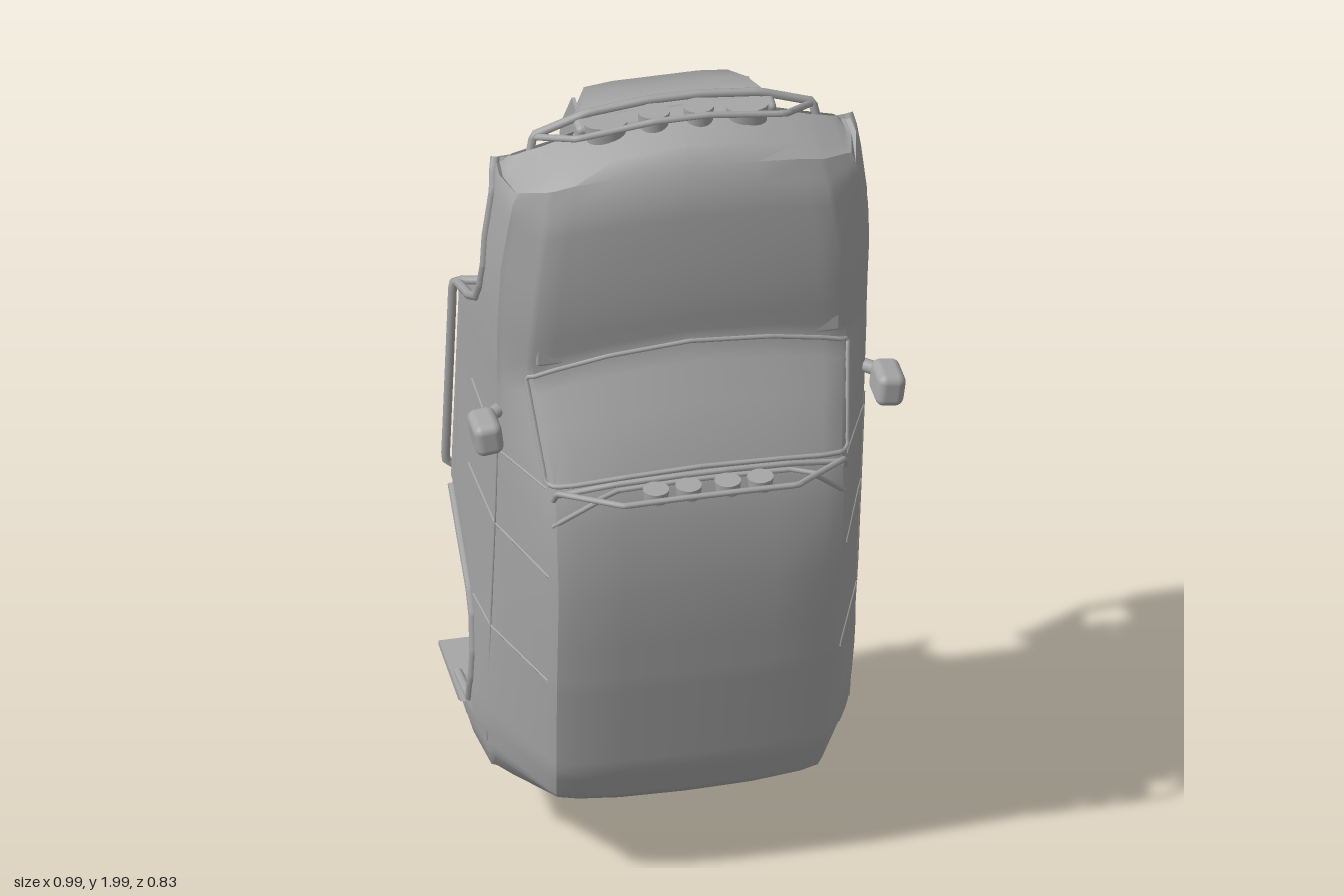
import * as THREE from 'three';
import { toCreasedNormals } from 'three/addons/utils/BufferGeometryUtils.js';
import { RoundedBoxGeometry } from 'three/addons/geometries/RoundedBoxGeometry.js';

const TILT = 0.144;
const grey = new THREE.MeshStandardMaterial({ color: 0xa6a6a6, side: THREE.DoubleSide });
grey.name = 'bodyGrey';
const V = (x, y, z) => new THREE.Vector3(x, y, z);
const { clamp, lerp, smoothstep } = THREE.MathUtils;

// Body stations along the car: distance, top height, belt height, half width, roof half width
const stations = [
  [-0.862, -0.12, -0.13, 0.375, 0.34], [-0.85, 0.0, -0.02, 0.39, 0.36], [-0.825, 0.1, 0.05, 0.4, 0.36],
  [-0.765, 0.245, 0.06, 0.41, 0.305], [-0.73, 0.278, 0.06, 0.415, 0.315], [-0.63, 0.306, 0.065, 0.42, 0.325],
  [-0.36, 0.32, 0.07, 0.42, 0.335], [-0.09, 0.322, 0.07, 0.42, 0.34], [0.1, 0.296, 0.07, 0.42, 0.345],
  [0.21, 0.262, 0.07, 0.42, 0.345], [0.46, 0.108, 0.045, 0.425, 0.37], [0.49, 0.107, 0.04, 0.425, 0.37],
  [0.56, 0.106, 0.035, 0.425, 0.365], [0.68, 0.096, 0.025, 0.42, 0.355], [0.84, 0.068, 0.015, 0.4, 0.335],
  [0.915, 0.035, 0.0, 0.385, 0.32], [0.945, 0.0, -0.03, 0.375, 0.32], [0.958, -0.1, -0.11, 0.36, 0.31],
];
// Lower body edge with the wheel arches, and the middle of the underside
const edge = [
  [-0.862, -0.14], [-0.73, -0.2], [-0.72, -0.18], [-0.69, -0.06], [-0.6, -0.03], [-0.52, -0.026], [-0.43, -0.05],
  [-0.386, -0.086], [-0.25, -0.29], [0.34, -0.3], [0.4, -0.19], [0.46, -0.117], [0.53, -0.08], [0.6, -0.066],
  [0.8, -0.085], [0.87, -0.127], [0.958, -0.12],
];
const floorMid = [[-0.862, -0.14], [-0.72, -0.2], [-0.53, -0.185], [-0.38, -0.2], [-0.25, -0.25], [0.34, -0.25],
  [0.42, -0.12], [0.46, -0.02], [0.87, -0.02], [0.958, -0.12]];
// Half width of the underside between the wheel wells
const pan = [[-0.862, 0.3], [-0.72, 0.35], [-0.66, 0.3], [-0.53, 0.265], [-0.43, 0.28], [-0.34, 0.33], [-0.25, 0.38],
  [0.34, 0.38], [0.4, 0.29], [0.46, 0.21], [0.958, 0.2]];
// How far each cross-section bows backwards at its sides
const bow = [[-0.862, -0.04], [-0.7, 0], [0.1, 0.01], [0.25, 0.05], [0.46, 0.08], [0.58, 0.03], [0.75, 0.03], [0.9, 0.08], [0.958, 0.1]];

function read(table, f, col = 1) {
  let i = 0;
  while (i < table.length - 2 && f > table[i + 1][0]) i++;
  const a = table[i], b = table[i + 1];
  return lerp(a[col], b[col], clamp((f - a[0]) / (b[0] - a[0]), 0, 1));
}
// The bow fades out low on the sides, so the arches keep their place
function bowed(x, f, u) {
  const amount = Math.max(clamp((u + 0.05) / 0.12, 0, 1), smoothstep(f, 0.85, 0.95), smoothstep(-f, 0.75, 0.85));
  return V(x, f - amount * read(bow, f) * (x / 0.4) ** 2, u);
}

// Half cross-section from the sill to the middle of the roof
function section(f) {
  const [top, belt, w, r] = [1, 2, 3, 4].map((c) => read(stations, f, c));
  const low = read(edge, f), gap = top - belt;
  return [[w + 0.012, low], [w + 0.016, low + (belt - low) * 0.45], [w, belt], [w - 0.012, belt + gap * 0.12],
    [r, top - gap * 0.16], [r - 0.015, top - gap * 0.06], [r - 0.06, top], [r * 0.5, top + 0.008], [0, top + 0.01],
  ].map(([x, u]) => bowed(x, f, u));
}
// Half underside from the lower edge, through the wheel well, to the tunnel
function underHalf(f) {
  const w = read(stations, f, 3) + 0.01, p = Math.min(read(pan, f), w - 0.05);
  const e = read(edge, f), m = read(floorMid, f), tunnel = smoothstep(f, -0.45, 0.3) * smoothstep(-f, -0.44, -0.4);
  return [[w, e], [lerp(p, w, 0.5), e + 0.012], [p + 0.015, e + 0.01], [p, lerp(e, m, 0.3)], [p - 0.012, lerp(e, m, 0.8)],
    [p - 0.04, m], [0.11, m], [0.06, m + 0.08 * tunnel], [0, m + 0.11 * tunnel]].map(([x, u]) => bowed(x, f, u));
}
// Surface through rows of points
function surface(rows, crease = 0.6) {
  const n = rows[0].length, index = [];
  for (let i = 0; i < rows.length - 1; i++) for (let j = 0; j < n - 1; j++) {
    const a = i * n + j, b = a + n;
    index.push(a, a + 1, b, a + 1, b + 1, b);
  }
  const g = new THREE.BufferGeometry().setFromPoints(rows.flat());
  g.setIndex(index);
  return toCreasedNormals(g, crease);
}

function add(parent, name, geometry) {
  const m = new THREE.Mesh(geometry, grey);
  m.name = name;
  parent.add(m);
  return m;
}
function box(parent, name, x, y, z, w, h, d, r = 0.012) {
  const m = add(parent, name, new RoundedBoxGeometry(w, h, d, 3, Math.min(r, w / 3, h / 3, d / 3)));
  m.position.set(x, y, z);
  return m;
}
function cylinder(parent, name, x, y, z, r, h, stretch = 1) {
  const m = add(parent, name, new THREE.CylinderGeometry(r, r * 0.9, h, 20));
  m.position.set(x, y, z);
  m.scale.x = stretch;
  return m;
}
// Bent pipe with tight corners
function pipe(parent, name, pts, r = 0.008) {
  const path = new THREE.CurvePath(), v = pts.map((p) => (p.isVector3 ? p : V(...p)));
  for (let i = 0; i < v.length - 1; i++) path.add(new THREE.LineCurve3(v[i], v[i + 1]));
  const smooth = new THREE.CatmullRomCurve3(path.getSpacedPoints(v.length * 6));
  return add(parent, name, new THREE.TubeGeometry(smooth, v.length * 8, r, 8));
}
// Side-on profile (along, up) extruded across the car from x0 to x1
function slab(parent, name, pts, x0, x1, holes = []) {
  const shape = new THREE.Shape(pts.map((p) => new THREE.Vector2(...p)));
  for (const h of holes) shape.holes.push(new THREE.Path(h.map((p) => new THREE.Vector2(...p))));
  const g = new THREE.ExtrudeGeometry(shape, { depth: x1 - x0, bevelEnabled: false });
  g.applyMatrix4(new THREE.Matrix4().makeBasis(V(0, 1, 0), V(0, 0, 1), V(1, 0, 0)));
  g.translate(x0, 0, 0);
  return add(parent, name, g);
}
const flip = (p) => V(-p.x, p.y, p.z);
const mirrorRow = (half) => [...half, ...half.slice(0, -1).reverse().map(flip)];
const mirrored = (half) => [...half, ...half.slice().reverse().map(([x, y, z]) => [-x, y, z])];

export function createModel() {
  const root = new THREE.Group();
  const car = new THREE.Group();
  car.name = 'tiltedCar';
  car.position.y = 1;
  car.rotation.x = TILT;
  root.add(car);

  // Body shell and underside share the same stations
  const fs = [...new Set([...stations, ...edge, ...floorMid, ...pan].map((s) => s[0]))].sort((a, b) => a - b);
  add(car, 'bodyShell', surface(fs.map((f) => mirrorRow(section(f)))));
  add(car, 'underside', surface(fs.map((f) => mirrorRow(underHalf(f))), 0.8));

  // Windscreen frame
  const windscreen = [...section(0.215).slice(4).reverse(), ...section(0.46).slice(4)];
  pipe(car, 'windscreenFrame', mirrorRow(windscreen), 0.006);

  for (const s of [-1, 1]) {
    // Door seams, belt line and wheel arch lips
    for (const f of [0.2, -0.05, -0.36])
      pipe(car, 'doorSeam', section(f).slice(1, 5).map((p) => V(s * p.x, p.y, p.z)), 0.003);
    pipe(car, 'beltLine', [0.25, 0, -0.3, -0.72].map((f) => {
      const p = section(f)[2];
      return V(s * p.x, p.y, p.z);
    }), 0.003);
    for (const [a, b, n] of [[-0.72, -0.25, 'rearArchLip'], [0.34, 0.87, 'frontArchLip']]) {
      const pts = fs.filter((f) => f >= a && f <= b).map((f) => section(f)[0]);
      pipe(car, n, pts.map((p) => V(s * p.x, p.y, p.z)), 0.011);
    }
    // Inner wing with two openings
    slab(car, 'innerWing', [[0.42, 0], [0.9, -0.02], [0.9, -0.25], [0.74, -0.345], [0.6, -0.35], [0.42, -0.3]],
      s * 0.2 - 0.004, s * 0.2 + 0.004, [
        [[0.6, -0.11], [0.62, -0.19], [0.72, -0.2], [0.735, -0.12], [0.68, -0.1]],
        [[0.58, -0.25], [0.59, -0.325], [0.71, -0.325], [0.74, -0.26], [0.69, -0.235]],
      ]);
    // Side step rails and sill
    box(car, 'sill', s * 0.405, 0.05, -0.285, 0.06, 0.58, 0.04);
    const rail = [[s * 0.39, 0.35, -0.29], [s * 0.445, 0.34, -0.312], [s * 0.445, -0.2, -0.312], [s * 0.39, -0.21, -0.29]];
    pipe(car, 'sideRail', rail, 0.01);
    pipe(car, 'innerSideRail', [[s * 0.37, 0.35, -0.315], [s * 0.37, -0.21, -0.315]], 0.009);
    // Rear bumper corners and mud flaps
    box(car, 'rearBumperCorner', s * 0.335, -0.795, -0.205, 0.15, 0.14, 0.16, 0.045);
    slab(car, 'mudFlap', [[-0.71, -0.07], [-0.73, -0.1], [-0.742, -0.305], [-0.73, -0.305]], s * 0.395 - 0.05, s * 0.395 + 0.05);
    // Wing mirror
    const mirror = box(root, 'wingMirror', s * 0.462, 1.24, 0.15, 0.065, 0.08, 0.1, 0.02);
    mirror.rotation.z = s * -0.12;
    pipe(root, 'mirrorArm', [[s * 0.4, 1.26, 0.08], [s * 0.46, 1.25, 0.12]], 0.016);
    // Bonnet vents and front suspension
    box(root, 'bonnetVent', s * 0.31, 1.43, 0.16, 0.08, 0.045, 0.02);
    cylinder(car, 'damper', s * 0.17, 0.53, -0.26, 0.022, 0.14);
    // Roof lamp bar struts
    pipe(root, 'lampBarStrut', [[s * 0.335, 1.05, 0.28], [s * 0.25, 1.155, 0.36]], 0.006);
  }

  // Front bumper beam and tapered skid plate
  box(car, 'frontBumper', 0, 0.93, -0.105, 0.46, 0.05, 0.05);
  const skid = [[0.945, -0.11, 0.215], [0.962, -0.15, 0.205], [0.935, -0.22, 0.19], [0.89, -0.3, 0.165],
    [0.82, -0.338, 0.165], [0.73, -0.36, 0.18]];
  add(car, 'skidPlate', surface(skid.map(([f, u, w]) =>
    [[-w - 0.025, 0.05], [-w, 0.006], [-w * 0.6, 0], [w * 0.6, 0], [w, 0.006], [w + 0.025, 0.05]]
      .map(([x, back]) => V(x, f - back * 0.8, u + back * 0.6))), 0.9));
  // Front bull bar with four lamps
  pipe(root, 'bullBarLower', mirrored([[0.34, 1.84, 0.02], [0.32, 1.925, 0.01], [0.2, 1.97, 0.015], [0.06, 1.985, 0.015]]), 0.01);
  pipe(root, 'bullBarUpper', mirrored([[0.32, 1.92, 0.01], [0.24, 1.96, 0.1], [0.06, 1.985, 0.105]]), 0.008);
  for (const [x, k] of [[-0.165, 1.55], [-0.055, 1.15], [0.048, 1.1], [0.16, 1.55]])
    cylinder(root, 'frontLamp', x, 1.965 - Math.abs(x) * 0.12, 0.06, 0.032, 0.05, k);

  // Roof lamp bar
  pipe(root, 'roofLampBar', mirrored([[0.335, 1.12, 0.28], [0.33, 1.15, 0.3], [0.2, 1.165, 0.405], [0.06, 1.17, 0.41]]), 0.007);
  pipe(root, 'roofLampRail', mirrored([[0.25, 1.16, 0.36], [0.2, 1.165, 0.34], [0.06, 1.17, 0.34]]), 0.006);
  pipe(root, 'roofFrontBar', mirrored([[0.335, 1.13, 0.28], [0.2, 1.155, 0.3], [0.06, 1.165, 0.31]]), 0.007);
  for (const x of [-0.12, -0.045, 0.045, 0.12]) cylinder(root, 'roofLamp', x, 1.165, 0.373, 0.03, 0.03);

  // Rear bumper, tank and guard
  box(car, 'rearBumper', 0, -0.84, -0.19, 0.54, 0.05, 0.1);
  box(car, 'rearTank', 0, -0.785, -0.245, 0.32, 0.11, 0.11, 0.004);
  pipe(root, 'rearGuardUpper', mirrored([[0.26, 0.2, -0.27], [0.24, 0.14, -0.27], [0.08, 0.018, -0.275], [0.03, 0.012, -0.275]]), 0.01);
  pipe(root, 'rearGuardLower', mirrored([[0.26, 0.24, -0.39], [0.24, 0.14, -0.37], [0.08, 0.03, -0.31], [0.03, 0.02, -0.31]]), 0.009);
  for (const x of [-0.24, -0.16, 0.16, 0.24])
    pipe(root, 'rearGuardBrace', [[x, x * x * 2 + 0.025, -0.27], [x, x * x * 2 + 0.03, -0.36]], 0.007);

  // Engine, gearbox and exhaust
  box(car, 'engine', 0, 0.51, -0.14, 0.2, 0.13, 0.2);
  box(car, 'sump', 0.05, 0.5, -0.26, 0.1, 0.12, 0.08);
  cylinder(car, 'gearbox', 0, 0.32, -0.2, 0.055, 0.24);
  cylinder(car, 'driveFlange', 0, 0.08, -0.2, 0.025, 0.06);
  pipe(car, 'crossMember', [[-0.2, 0.4, -0.29], [-0.08, 0.38, -0.29], [0.08, 0.38, -0.29], [0.2, 0.4, -0.29]], 0.014);
  pipe(car, 'exhaustPipe', [[0.1, 0.48, -0.22], [0.13, 0.38, -0.27], [0.13, 0.1, -0.27]], 0.014);
  cylinder(car, 'muffler', 0.13, 0.07, -0.27, 0.035, 0.17);
  return root;
}
